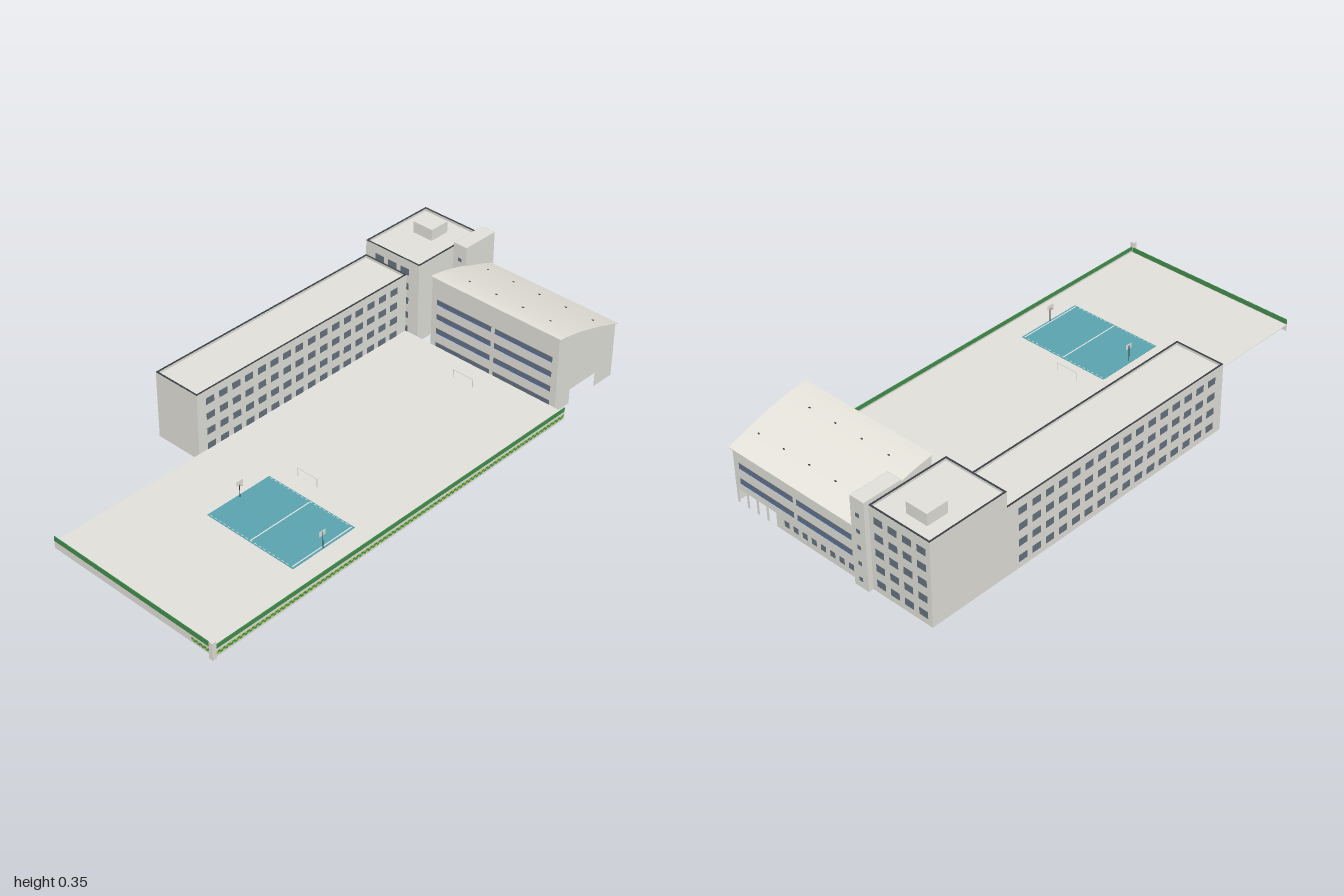
import * as THREE from 'three';

const mat = (name, color) => new THREE.MeshStandardMaterial({ name, color, side: THREE.DoubleSide });

export function createModel() {
  const wall = mat('concrete grey', 0xe2e1db);
  const roofMat = mat('warm roof', 0xebe8e0);
  const glass = mat('slate glass', 0x677380);
  const blue = mat('blue frame', 0x416bbb);
  const dark = mat('dark trim', 0x3a4046);
  const green = mat('fence green', 0x448f4e);
  const lime = mat('lime', 0xa9d046);
  const teal = mat('court teal', 0x5aa4af);
  const white = mat('line white', 0xf6f6f2);
  const orange = mat('hoop orange', 0xb5512e);

  const root = new THREE.Group();
  const group = (name) => {
    const g = new THREE.Group();
    g.name = name;
    root.add(g);
    return g;
  };
  const add = (parent, name, geo, material) => {
    const m = new THREE.Mesh(geo, material);
    m.name = name;
    parent.add(m);
    return m;
  };
  // Box given by its limits on each axis
  const box = (parent, name, m, x0, x1, y0, y1, z0, z1) => {
    const b = add(parent, name, new THREE.BoxGeometry(x1 - x0, y1 - y0, z1 - z0), m);
    b.position.set((x0 + x1) / 2, (y0 + y1) / 2, (z0 + z1) / 2);
  };
  // Thin panes straddling a wall that faces z or x
  const T = 0.0013;
  const paneZ = (p, name, m, x0, x1, y0, y1, z, t = T) => box(p, name, m, x0, x1, y0, y1, z - t, z + t);
  const paneX = (p, name, m, z0, z1, y0, y1, x, t = T) => box(p, name, m, x - t, x + t, y0, y1, z0, z1);

  // Hollow block open at the bottom, with a sunken roof and a thin dark parapet rim
  const block = (name, x0, x1, h, z0, z1, sink) => {
    const g = group(name);
    const geo = new THREE.BoxGeometry(x1 - x0, h, z1 - z0);
    const index = Array.from(geo.index.array);
    geo.setIndex([...index.slice(0, 12), ...index.slice(24)]);
    geo.clearGroups();
    add(g, 'walls', geo, wall).position.set((x0 + x1) / 2, h / 2, (z0 + z1) / 2);
    box(g, 'flatRoof', wall, x0 + 0.001, x1 - 0.001, h - sink - 0.003, h - sink, z0 + 0.001, z1 - 0.001);
    if (sink > 0) {
      const w = 0.006;
      for (const x of [x0, x1 - w]) box(g, 'parapetRim', dark, x, x + w, h - 0.0005, h + 0.001, z0, z1);
      for (const z of [z0, z1 - w]) box(g, 'parapetRim', dark, x0, x1, h - 0.0005, h + 0.001, z, z + w);
    }
    return g;
  };

  // Long wing with window grids on both long sides
  const wing = block('longWing', -0.467, -0.27, 0.264, -0.66, 0.361, 0.014);
  for (const x of [-0.467, -0.27])
    for (let r = 0; r < 4; r++)
      for (let c = 0; c < 16; c++) {
        const z = 0.303 - c * 0.0597, y = 0.037 + r * 0.061;
        paneX(wing, 'window', glass, z - 0.018, z + 0.018, y - 0.013, y + 0.013, x);
      }

  // Corner tower with rooftop box
  const tower = block('cornerTower', -0.467, -0.213, 0.324, -0.98, -0.66, 0.014);
  box(tower, 'rooftopBox', wall, -0.397, -0.309, 0.305, 0.355, -0.92, -0.835);
  for (let r = 0; r < 5; r++) {
    const y = 0.037 + r * 0.06;
    for (let c = 0; c < 3; c++)
      paneZ(tower, 'frontWindow', glass, -0.42 + c * 0.06, -0.38 + c * 0.06, y - 0.013, y + 0.013, -0.66);
    for (let c = 0; c < 4; c++)
      paneZ(tower, 'backWindow', glass, -0.449 + c * 0.06, -0.413 + c * 0.06, y - 0.013, y + 0.013, -0.98);
  }

  // Narrow stair tower
  const stair = block('stairTower', -0.213, -0.153, 0.34, -0.999, -0.845, 0);
  for (const z of [-0.999, -0.845])
    for (let r = 0; r < 5; r++)
      paneZ(stair, 'stairWindow', glass, -0.19, -0.175, 0.027 + r * 0.0615, 0.041 + r * 0.0615, z);

  // Hall with curved roof; profiles use s = -z
  const hall = group('hall');
  const HX0 = -0.153, HX1 = 0.415, S0 = 0.665, S1 = 0.98;
  const roofY = (s) => 0.303 - 0.085 * Math.pow(Math.max(0, (s - S0) / (S1 - S0)), 1.4);
  const arc = (s0, s1, dy) => Array.from({ length: 17 }, (_, i) => {
    const s = s0 + ((s1 - s0) * i) / 16;
    return new THREE.Vector2(s, roofY(s) + dy);
  });
  const v = (x, y) => new THREE.Vector2(x, y);
  const stand = (name, geo, m, x) => {
    const r = add(hall, name, geo, m);
    r.rotation.y = Math.PI / 2;
    r.position.x = x;
  };
  const closed = [v(S0, 0), ...arc(S0, S1, 0), v(S1, 0)];
  const doorway = [v(0.882, 0), v(0.882, 0.058), v(0.743, 0.058), v(0.743, 0)];
  stand('innerGable', new THREE.ShapeGeometry(new THREE.Shape(closed)), wall, HX0);
  stand('doorGable', new THREE.ShapeGeometry(new THREE.Shape([...closed, ...doorway])), wall, HX1);
  // Thin roof sheet overhanging both gables
  const sheet = new THREE.Shape([...arc(0.663, 0.99, 0.0015), ...arc(0.663, 0.99, -0.0015).reverse()]);
  stand('curvedRoof', new THREE.ExtrudeGeometry(sheet, { depth: 0.58, bevelEnabled: false }), roofMat, -0.16);
  paneZ(hall, 'frontWall', wall, HX0, HX1, 0, 0.302, -S0, 0.0005);
  // Back wall with entrance openings at one end
  const bays = [0.225, 0.272, 0.319, 0.366];
  paneZ(hall, 'backWall', wall, HX0, HX1, 0.055, 0.218, -S1, 0.0005);
  paneZ(hall, 'backWallBase', wall, HX0, bays[0], 0, 0.055, -S1, 0.0005);
  for (const x of bays) paneZ(hall, 'entrancePier', wall, x + 0.037, Math.min(x + 0.047, HX1), 0, 0.055, -S1, 0.0005);
  // Glazed walls around the entrance lobby
  paneX(hall, 'lobbyGlass', glass, -S1 + 0.002, -0.743, 0, 0.058, 0.225);
  paneZ(hall, 'lobbyGlass', glass, 0.225, HX1 - 0.002, 0, 0.058, -0.743);

  // Ribbon windows with blue sills and mullions
  const ribbon = (x0, x1, y, z) => {
    paneZ(hall, 'ribbonWindow', glass, x0, x1, y, y + 0.02, z);
    paneZ(hall, 'blueSill', blue, x0, x1, y - 0.001, y + 0.002, z, T + 0.001);
    for (let x = x0 + 0.05; x < x1 - 0.02; x += 0.05)
      paneZ(hall, 'blueMullion', blue, x - 0.0008, x + 0.0008, y, y + 0.02, z, T + 0.001);
  };
  for (const y of [0.02, 0.08, 0.14, 0.2]) {
    ribbon(-0.128, 0.12, y, -S0);
    ribbon(0.137, 0.39, y, -S0);
  }
  for (const y of [0.085, 0.145]) {
    ribbon(-0.128, 0.12, y, -S1);
    ribbon(0.137, 0.39, y, -S1);
  }
  for (let c = 0; c < 8; c++)
    paneZ(hall, 'lowWindow', glass, -0.13 + c * 0.042, -0.108 + c * 0.042, 0.024, 0.046, -S1);
  // Roof vents in two staggered rows
  const vent = (x, z) => box(hall, 'roofVent', dark, x - 0.004, x + 0.004, roofY(-z), roofY(-z) + 0.003, z - 0.002, z + 0.002);
  for (let i = 0; i < 5; i++) vent(-0.1 + i * 0.118, -0.905);
  for (let i = 0; i < 4; i++) vent(-0.05 + i * 0.12, -0.745);

  // Raised yard deck and sports court
  const yard = group('yard');
  const G = 0.026;
  box(yard, 'ground', wall, -0.27, 0.461, G - 0.002, G, -0.66, 0.985);
  const court = group('court');
  const flat = (name, m, x0, x1, z0, z1, lift) => box(court, name, m, x0, x1, G, G + lift, z0, z1);
  flat('courtSurface', teal, -0.018, 0.367, 0.284, 0.564, 0.0012);
  for (const x of [0.174, 0.358]) flat('courtLine', white, x - 0.002, x + 0.002, 0.29, 0.558, 0.002);
  for (const z of [0.289, 0.559])
    for (let x = -0.008; x < 0.35; x += 0.02) flat('dashedLine', white, x, x + 0.01, z - 0.001, z + 0.001, 0.002);
  // Hoops at each end of the court
  for (const [x, d] of [[-0.008, 1], [0.364, -1]]) {
    const post = add(court, 'hoopPost', new THREE.CylinderGeometry(0.0014, 0.0014, 0.067, 8), dark);
    post.position.set(x, G + 0.0335, 0.428);
    paneX(court, 'backboard', wall, 0.414, 0.442, 0.078, 0.096, x + d * 0.002, 0.0008);
    const ring = add(court, 'hoopRing', new THREE.TorusGeometry(0.005, 0.0007, 4, 12), orange);
    ring.rotation.x = Math.PI / 2;
    ring.position.set(x + d * 0.008, 0.081, 0.428);
  }
  // Goal frames
  for (const z of [-0.557, 0.218]) {
    for (const x of [0.048, 0.136]) box(yard, 'goalPost', wall, x - 0.001, x + 0.001, G, 0.06, z - 0.001, z + 0.001);
    box(yard, 'goalBar', wall, 0.047, 0.137, 0.058, 0.06, z - 0.001, z + 0.001);
  }

  // Boundary wall, green fence and chequered band
  const fence = group('boundaryFence');
  paneZ(fence, 'frontLowWall', wall, -0.27, 0.455, 0, 0.028, 0.985);
  paneZ(fence, 'frontFence', green, -0.27, 0.455, 0.028, 0.047, 0.985);
  paneX(fence, 'sideLowWall', wall, -0.66, 0.985, 0, 0.032, 0.46);
  paneX(fence, 'sideFence', green, -0.66, 0.985, 0.032, 0.048, 0.46);
  paneZ(fence, 'frontBand', lime, 0.36, 0.45, 0.008, 0.02, 0.9856);
  paneX(fence, 'sideBand', lime, -0.655, 0.98, 0.009, 0.022, 0.4606);
  for (let i = 0; i < 10; i++) {
    const x = 0.36 + i * 0.009, y = i % 2 ? 0.008 : 0.014;
    paneZ(fence, 'bandCheck', green, x, x + 0.009, y, y + 0.006, 0.9862);
  }
  for (let i = 0; i < 163; i++) {
    const z = -0.655 + i * 0.01, y = i % 2 ? 0.009 : 0.0155;
    paneX(fence, 'bandCheck', green, z, z + 0.01, y, y + 0.0065, 0.4612);
  }
  box(fence, 'cornerPost', wall, 0.45, 0.466, 0, 0.067, 0.984, 1);
  return root;
}
